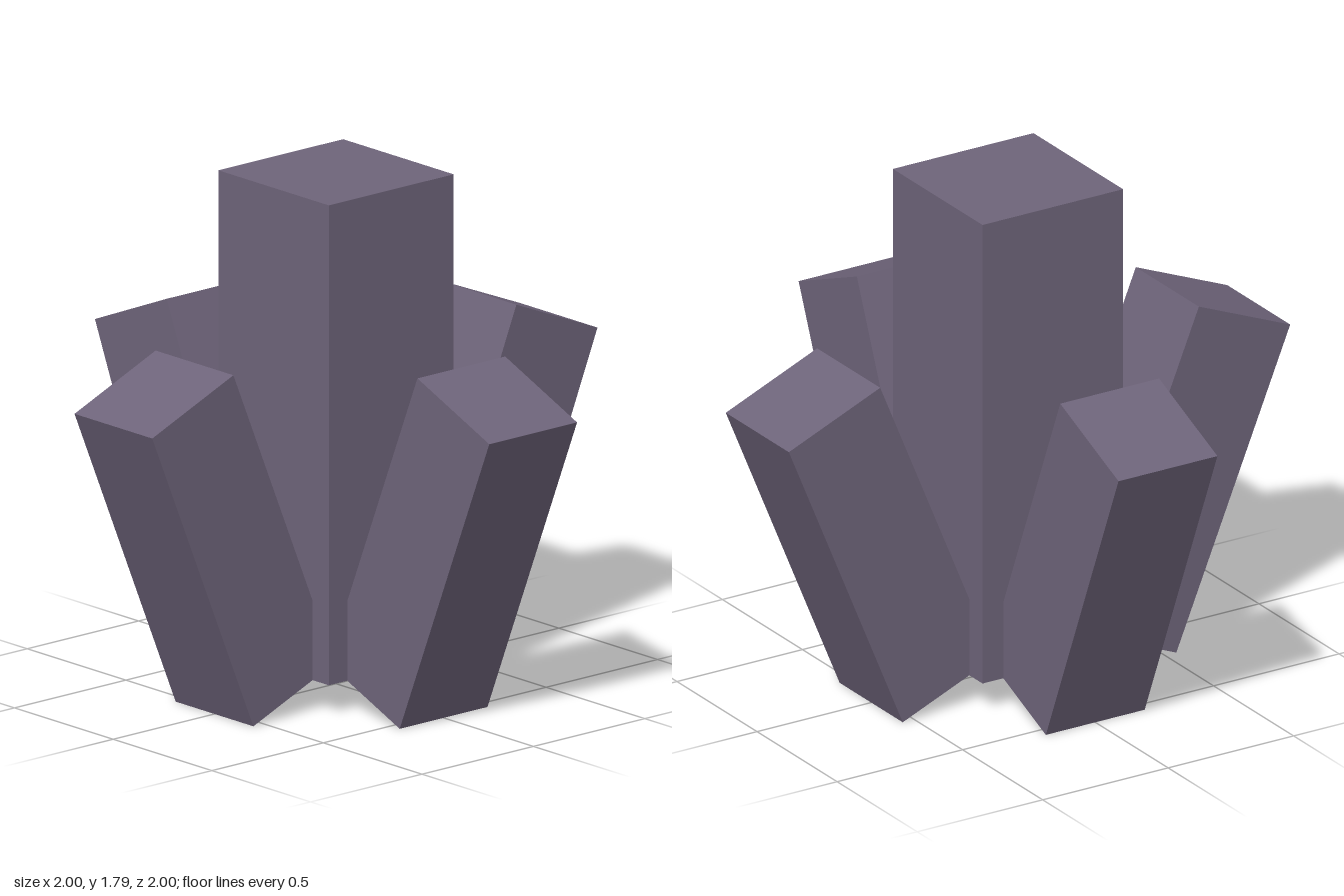
import * as THREE from 'three';

export function createModel() {
  const model = new THREE.Group();
  model.name = 'crystalCluster';
  const stone = new THREE.MeshStandardMaterial({ color: 0x6e647a });
  stone.name = 'dusky purple stone';

  // Tall upright crystal in the middle
  const core = new THREE.Mesh(new THREE.BoxGeometry(0.56, 1.68, 0.56), stone);
  core.name = 'centralCrystal';
  core.position.y = 0.95;
  model.add(core);

  // Four shorter crystals leaning outwards, one per side
  const armGeometry = new THREE.BoxGeometry(0.394, 1.186, 0.394);
  ['left', 'back', 'right', 'front'].forEach((side, i) => {
    const arm = new THREE.Group();
    arm.name = `${side}Crystal`;
    arm.rotation.y = (i * Math.PI) / 2;
    const shard = new THREE.Mesh(armGeometry, stone);
    shard.name = `${side}LeaningCrystal`;
    shard.position.set(0.59, 0.623, 0);
    shard.rotation.z = -Math.PI / 8;
    arm.add(shard);
    model.add(arm);
  });

  return model;
}
